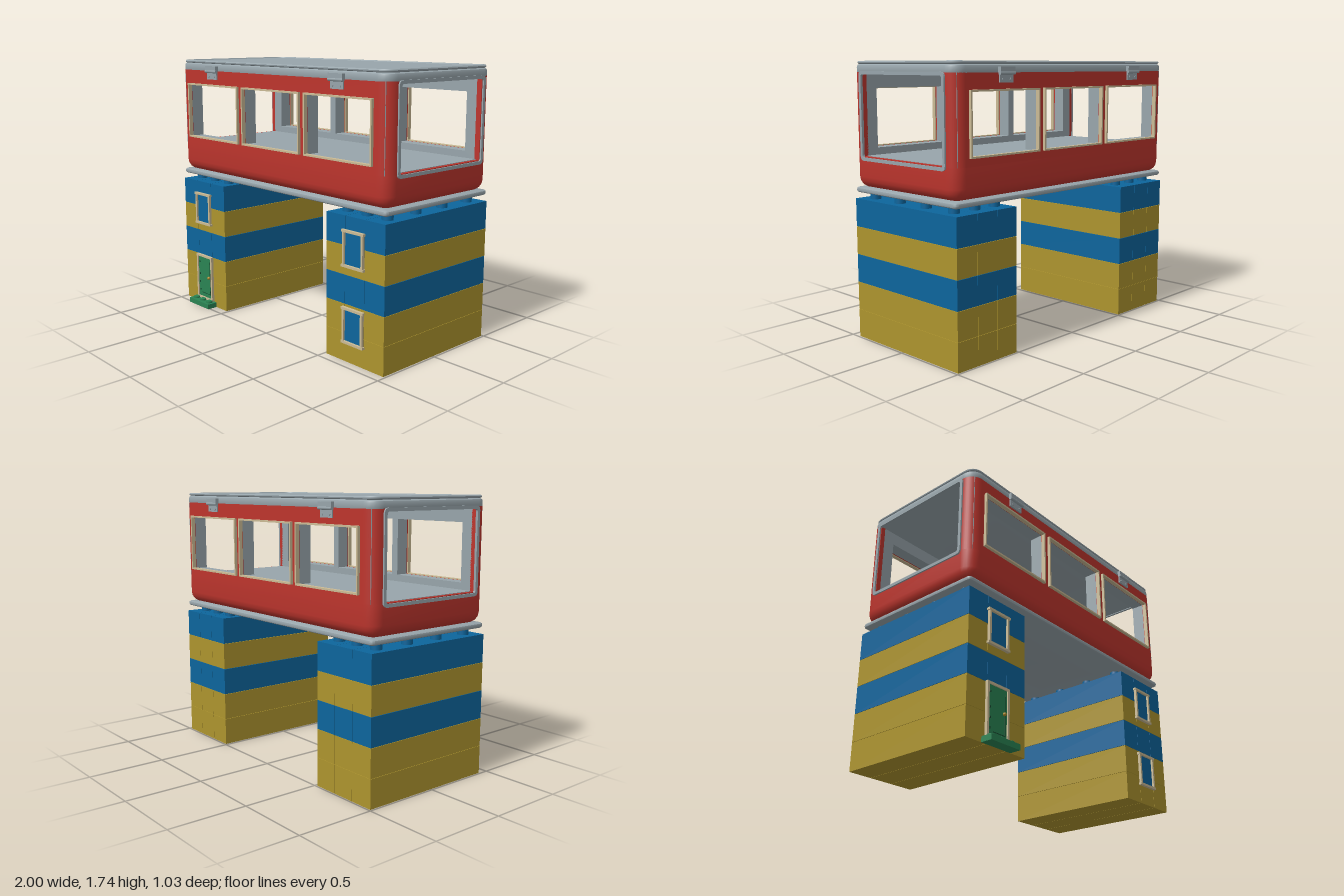
import * as THREE from 'three';
import { toCreasedNormals } from 'three/addons/utils/BufferGeometryUtils.js';

const mat = (name, color, side = THREE.FrontSide) => {
  const m = new THREE.MeshStandardMaterial({ color, side });
  m.name = name;
  return m;
};

const ZC = -0.025, HX = 0.99, HZ = 0.465, R = 0.08; // shared body footprint

// Closed solid from rounded-rectangle rings; profile entries are [inset, y]
function loft(profile, hx, hz, r) {
  const pos = [], idx = [], seg = 6, n = 4 * (seg + 1);
  for (const [inset, y] of profile) {
    const rr = Math.max(r - inset, 0.002), cx = hx - inset - rr, cz = hz - inset - rr;
    for (let q = 0; q < 4; q++) for (let s = 0; s <= seg; s++) {
      const a = (q + s / seg) * Math.PI / 2;
      const sx = q === 0 || q === 3 ? 1 : -1, sz = q < 2 ? 1 : -1;
      pos.push(sx * cx + rr * Math.cos(a), y, ZC + sz * cz + rr * Math.sin(a));
    }
  }
  const m = profile.length;
  for (let i = 0; i < m - 1; i++) for (let j = 0; j < n; j++) {
    const a = i * n + j, b = i * n + (j + 1) % n;
    idx.push(a, a + n, b, b, a + n, b + n);
  }
  const c = m * n, last = (m - 1) * n;
  pos.push(0, profile[0][1], ZC, 0, profile[m - 1][1], ZC);
  for (let j = 0; j < n; j++) {
    const k = (j + 1) % n;
    idx.push(c, j, k, c + 1, last + k, last + j);
  }
  const g = new THREE.BufferGeometry();
  g.setAttribute('position', new THREE.Float32BufferAttribute(pos, 3));
  g.setIndex(idx);
  return toCreasedNormals(g, 0.6);
}

// Rectangle path with optional rounded corners
function rect(path, x0, y0, x1, y1, r = 0) {
  path.moveTo(x0 + r, y0).lineTo(x1 - r, y0);
  if (r) path.quadraticCurveTo(x1, y0, x1, y0 + r);
  path.lineTo(x1, y1 - r);
  if (r) path.quadraticCurveTo(x1, y1, x1 - r, y1);
  path.lineTo(x0 + r, y1);
  if (r) path.quadraticCurveTo(x0, y1, x0, y1 - r);
  path.lineTo(x0, y0 + r);
  if (r) path.quadraticCurveTo(x0, y0, x0 + r, y0);
  return path;
}

// Slab in the xy plane with rectangular openings
function panel(outer, holes, depth, r = 0) {
  const s = rect(new THREE.Shape(), ...outer, r);
  holes.forEach(h => s.holes.push(rect(new THREE.Path(), ...h, r * 0.6)));
  return new THREE.ExtrudeGeometry(s, { depth, bevelEnabled: false, curveSegments: 5 });
}

const frame = (x0, y0, x1, y1, t, depth, r = 0) =>
  panel([x0, y0, x1, y1], [[x0 + t, y0 + t, x1 - t, y1 - t]], depth, r);

export function createModel() {
  const root = new THREE.Group();
  const red = mat('red body', 0xbd352d), redSkin = mat('red curved skin', 0xbd352d, THREE.DoubleSide);
  const blue = mat('blue brick', 0x0d659c), mustard = mat('mustard brick', 0xad942e);
  const grey = mat('grey trim', 0x98a5ab), tan = mat('tan frame', 0xcbbb95);
  const green = mat('green door', 0x2a8453), dark = mat('dark green groove', 0x174a30);
  const gold = mat('gold knob', 0xb08a2a);

  const add = (name, geo, material, x = 0, y = 0, z = 0, parent = root) => {
    const mesh = new THREE.Mesh(geo, material);
    mesh.name = name;
    mesh.position.set(x, y, z);
    parent.add(mesh);
    return mesh;
  };
  const box = (name, m, x0, x1, y0, y1, z0, z1, parent = root) =>
    add(name, new THREE.BoxGeometry(x1 - x0, y1 - y0, z1 - z0), m,
      (x0 + x1) / 2, (y0 + y1) / 2, (z0 + z1) / 2, parent);

  // Two towers of long bricks with studs on top
  const layers = [mustard, mustard, blue, mustard, blue];
  const w = 0.1585, h = 0.179;
  for (const [name, start] of [['rightTower', -0.99], ['leftTower', 0.5125]]) {
    const tower = new THREE.Group();
    tower.name = name;
    root.add(tower);
    for (let c = 0; c < 3; c++) {
      const x = start + c * w;
      layers.forEach((m, i) => box('longBrick', m, x + 0.001, x + w - 0.001,
        i * h + (i ? 0.002 : 0), (i + 1) * h, -0.49, 0.44, tower));
      for (let k = 0; k < 4; k++)
        add('stud', new THREE.CylinderGeometry(0.034, 0.034, 0.046, 20), blue,
          x + w / 2, 0.917, 0.338 - k * 0.241, tower);
    }
  }

  // Small windows on the tower fronts
  for (const [x, y] of [[-0.752, 0.59], [0.745, 0.59], [0.745, 0.12]]) {
    add('towerWindowFrame', frame(x - 0.083, y, x + 0.083, y + 0.225, 0.015, 0.018), tan, 0, 0, 0.44);
    box('towerWindowPane', blue, x - 0.068, x + 0.068, y + 0.015, y + 0.21, 0.439, 0.445);
    for (const yy of [y, y + 0.21])
      box('towerWindowLedge', tan, x - 0.09, x + 0.09, yy, yy + 0.015, 0.44, 0.46);
  }

  // Door, its frame, fittings and step
  add('doorFrame', frame(-0.842, 0.035, -0.662, 0.362, 0.015, 0.018), tan, 0, 0, 0.44);
  box('door', green, -0.827, -0.677, 0.05, 0.347, 0.439, 0.45);
  box('doorGrooveSide', dark, -0.694, -0.69, 0.08, 0.32, 0.45, 0.452);
  box('doorGrooveBottom', dark, -0.79, -0.69, 0.076, 0.08, 0.45, 0.452);
  for (const y of [0.09, 0.15, 0.21, 0.3])
    box('doorHinge', dark, -0.817, -0.809, y, y + 0.012, 0.45, 0.453);
  add('doorKnob', new THREE.SphereGeometry(0.011, 14, 10), gold, -0.701, 0.203, 0.456);
  box('doorStep', green, -0.866, -0.636, 0, 0.034, 0.44, 0.513);
  for (let i = -1; i <= 1; i++)
    add('stepStud', new THREE.CylinderGeometry(0.022, 0.022, 0.012, 18), green, -0.751 + i * 0.077, 0.04, 0.477);

  // Base plate with a rounded edge
  add('basePlate', loft([[0.012, 0.936], [0.003, 0.942], [0, 0.952], [0.003, 0.963], [0.012, 0.969]],
    HX, HZ, 0.025), grey);

  // Cabin tub, curved in under the walls
  add('cabinTub', loft([[0.07, 0.968], [0.043, 0.974], [0.02, 0.989], [0.005, 1.013], [0, 1.04], [0, 1.165]],
    HX, HZ, R), red);
  box('cabinFloor', grey, -0.965, 0.965, 1.15, 1.168, -0.45, 0.4);

  // Long walls: red skin outside, thick grey lining inside, three openings each
  const windows = [-0.605, 0, 0.605].map(x => [x - 0.277, 1.212, x + 0.277, 1.578]);
  const flat = HX - R;
  for (const s of [1, -1]) {
    const face = ZC + s * HZ, side = s > 0 ? 'front' : 'back';
    const place = (near, far) => Math.min(face - s * near, face - s * far);
    add(side + 'WallSkin', panel([-flat, 1.16, flat, 1.675], windows, 0.015), red, 0, 0, place(0, 0.015));
    add(side + 'WallLining', panel([-0.96, 1.16, 0.96, 1.675], windows, 0.085), grey, 0, 0, place(0.015, 0.1));
    for (const [x0, y0, x1, y1] of windows)
      add(side + 'WindowFrame', frame(x0 - 0.004, y0 - 0.005, x1 + 0.004, y1 + 0.005, 0.011, 0.026),
        tan, 0, 0, place(-0.018, 0.008));

    // Latches holding the roof
    for (const x of [-0.607, 0.602]) {
      const latch = new THREE.Group();
      latch.name = side + 'Latch';
      latch.position.set(x, 0, face);
      latch.rotation.y = s > 0 ? 0 : Math.PI;
      root.add(latch);
      box('latchHook', grey, -0.06, 0.06, 1.675, 1.708, -0.01, 0.022, latch);
      box('latchPlate', grey, -0.053, 0.053, 1.618, 1.668, -0.005, 0.01, latch);
      const bar = add('latchBar', new THREE.CylinderGeometry(0.011, 0.011, 0.12, 14), grey, 0, 1.672, 0.014, latch);
      bar.rotation.z = Math.PI / 2;
      for (const sx of [-1, 1]) {
        const rivet = add('latchRivet', new THREE.CylinderGeometry(0.008, 0.008, 0.006, 12), grey, sx * 0.032, 1.637, 0.012, latch);
        rivet.rotation.x = Math.PI / 2;
      }
    }

    // Rounded corner posts beside the open ends
    for (const sx of [1, -1]) {
      const start = sx > 0 ? (s > 0 ? 0 : Math.PI / 2) : (s > 0 ? -Math.PI / 2 : Math.PI);
      add('cornerSkin', new THREE.CylinderGeometry(R, R, 0.515, 10, 1, true, start, Math.PI / 2), redSkin,
        sx * flat, 1.4175, ZC + s * (HZ - R));
      const a = face - s * 0.1, b = face - s * R, xe = [sx * 0.955, sx * HX].sort((p, q) => p - q);
      box('endPost', red, xe[0], xe[1], 1.16, 1.675, Math.min(a, b), Math.max(a, b));
    }
  }

  // Trim around the open ends
  for (const sx of [1, -1]) {
    const trim = add('endFrame', frame(-0.387, 1.14, 0.387, 1.68, 0.02, 0.016, 0.03), grey, sx * 0.984, 0, -0.028);
    trim.rotation.y = sx * Math.PI / 2;
  }

  // Roof lid with a bulging lip and a raised rim
  add('roof', loft([[0.012, 1.662], [0.003, 1.668], [0, 1.678], [0, 1.705], [0.004, 1.716], [0.014, 1.722],
    [0.006, 1.727], [0.004, 1.734], [0.01, 1.741], [0.02, 1.741], [0.025, 1.734]], HX, HZ + 0.001, R), grey);

  return root;
}
